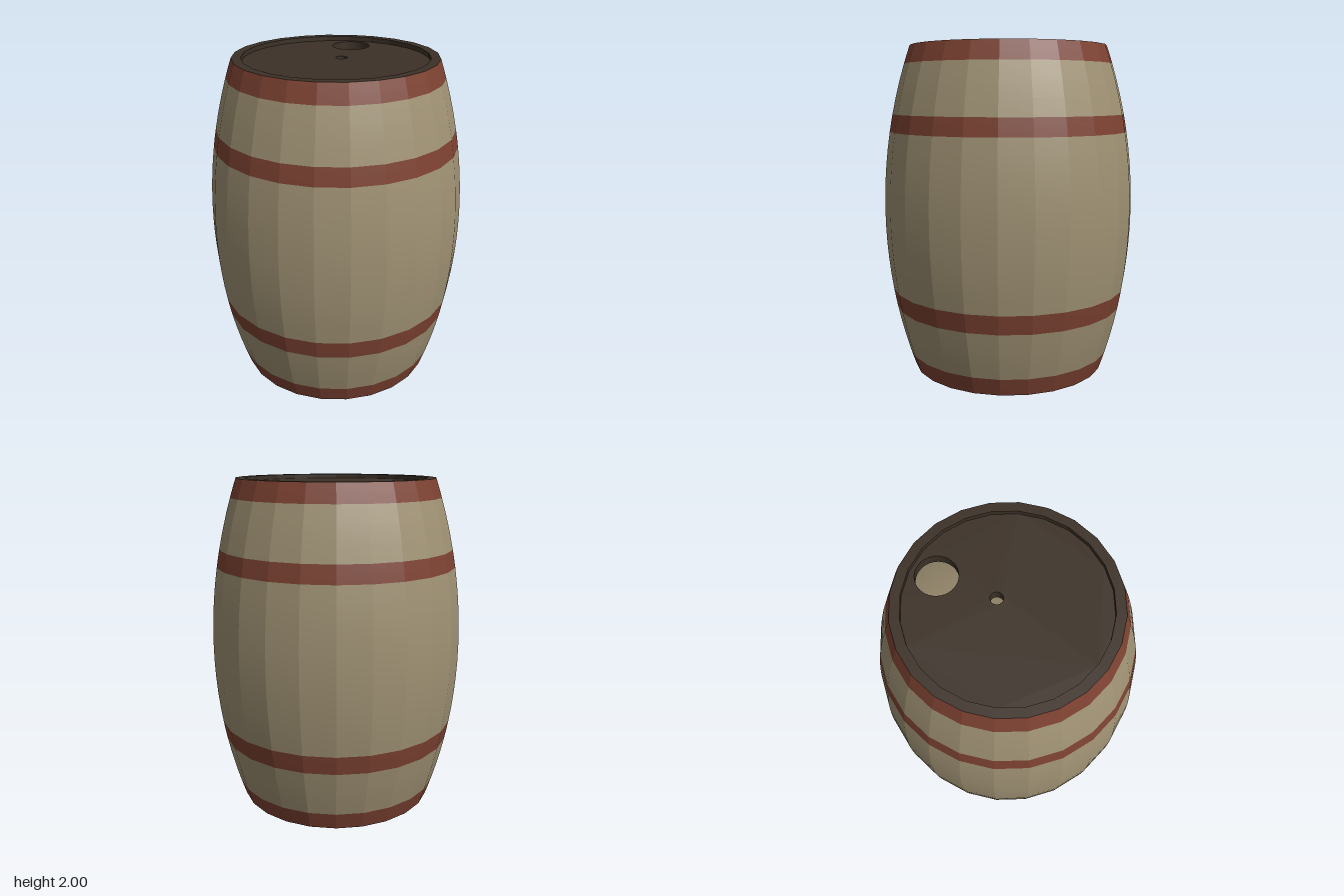
import * as THREE from 'three';
import { toCreasedNormals } from 'three/addons/utils/BufferGeometryUtils.js';

const SIDES = 24;
const CURVE = 3.026; // radius of the bulging stave arc
const WALL = 0.055;
const LID_TOP = 1.973;
const LID_THICK = 0.06;

const material = (name, color) => {
  const m = new THREE.MeshStandardMaterial({ color });
  m.name = name;
  return m;
};

// barrel radius at a given height
const radiusAt = (y) => 0.77 - CURVE + Math.sqrt(CURVE * CURVE - (y - 1) ** 2);

// profile points along the bulge, from y0 to y1
function bulge(y0, y1, inset = 0) {
  const steps = Math.max(2, Math.round(Math.abs(y1 - y0) / 0.1));
  return Array.from({ length: steps + 1 }, (_, i) => {
    const y = y0 + ((y1 - y0) * i) / steps;
    return new THREE.Vector2(radiusAt(y) - inset, y);
  });
}

// faceted around, smooth up and down
const turned = (points) =>
  toCreasedNormals(new THREE.LatheGeometry(points, SIDES), THREE.MathUtils.degToRad(12));

export function createModel() {
  const group = new THREE.Group();
  group.name = 'barrel';
  const wood = material('stave wood', 0xa09274);
  const rust = material('rusty hoop', 0x7d4232);
  const dark = material('dark wood', 0x3c3127);

  const add = (name, geometry, mat) => {
    const mesh = new THREE.Mesh(geometry, mat);
    mesh.name = name;
    group.add(mesh);
    return mesh;
  };

  // outer shell, alternating hoops and staves
  const levels = [0, 0.11, 0.4, 0.515, 1.485, 1.59, 1.89, 2];
  for (let i = 0; i < levels.length - 1; i++) {
    const hoop = i % 2 === 0;
    add(hoop ? 'hoop' : 'staves', turned(bulge(levels[i], levels[i + 1])), hoop ? rust : wood);
  }

  // rim around the sunken lid
  const rim = [[0.6, 2], [0.545, 2], [0.545, LID_TOP - LID_THICK]];
  add('rim', turned(rim.map(([x, y]) => new THREE.Vector2(x, y))), dark);

  // lid with a bung hole and a small vent hole
  const lid = new THREE.Shape();
  for (let i = 0; i < SIDES; i++) {
    const a = (i / SIDES) * Math.PI * 2;
    lid[i ? 'lineTo' : 'moveTo'](0.545 * Math.cos(a), 0.545 * Math.sin(a));
  }
  lid.closePath();
  for (const [x, y, r] of [[-0.263, 0.308, 0.115], [-0.032, 0.065, 0.035]]) {
    lid.holes.push(new THREE.Path().absarc(x, y, r, 0, Math.PI * 2, true));
  }
  const lidGeometry = new THREE.ExtrudeGeometry(lid, {
    depth: LID_THICK, bevelEnabled: false, curveSegments: 16,
  });
  lidGeometry.rotateX(-Math.PI / 2);
  add('lid', lidGeometry, dark).position.y = LID_TOP - LID_THICK;

  // hollow inside, seen through the holes
  const floorY = 0.06;
  add('innerWall', turned(bulge(LID_TOP - LID_THICK, floorY, WALL)), wood);
  const floor = new THREE.CircleGeometry(radiusAt(floorY) - WALL, SIDES).rotateX(-Math.PI / 2);
  add('innerFloor', floor, dark).position.y = floorY;

  // underside
  add('base', new THREE.CircleGeometry(0.6, SIDES).rotateX(Math.PI / 2), dark);

  return group;
}
